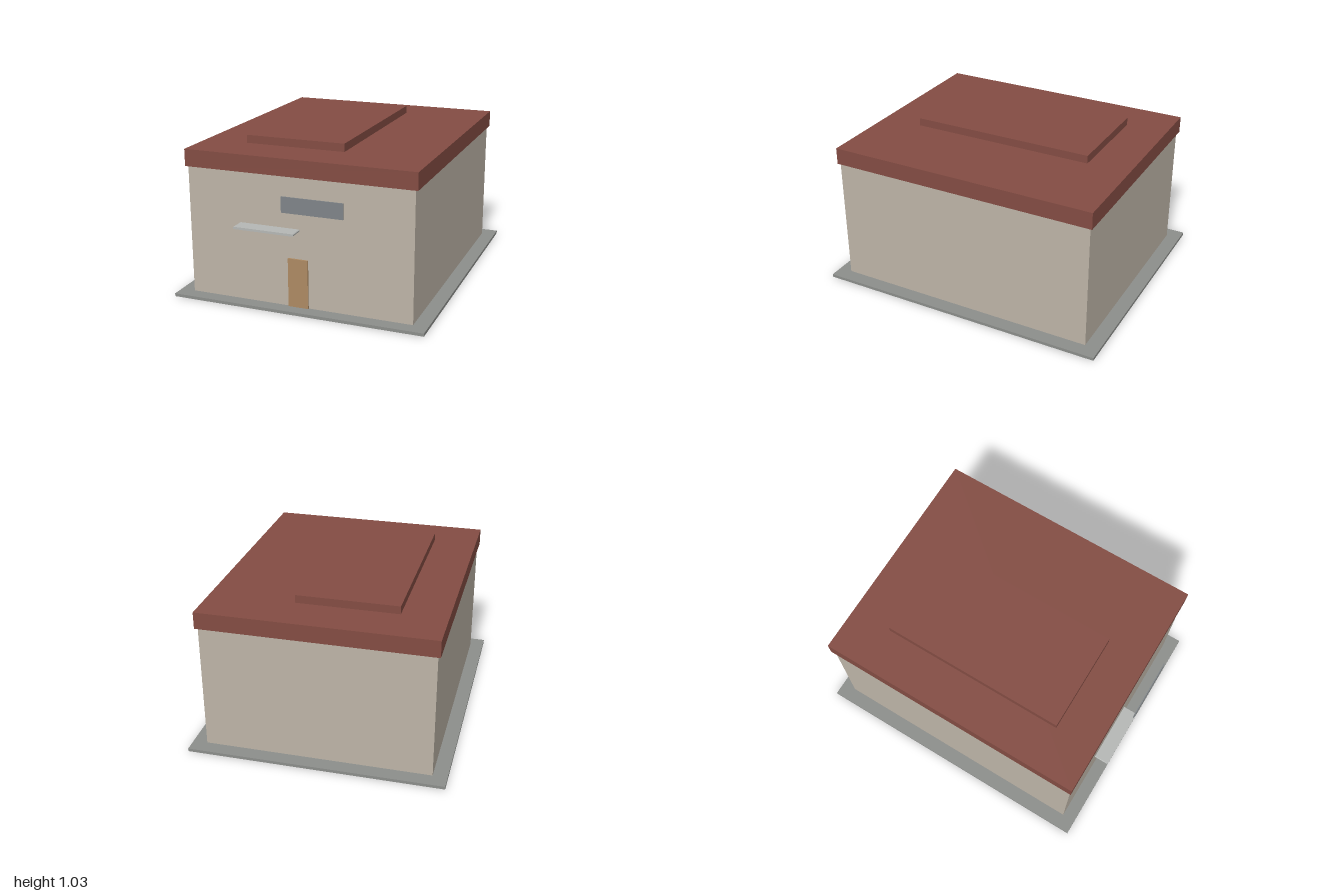
import * as THREE from 'three';

const material = (color) => new THREE.MeshStandardMaterial({ color });

// Box given by its extents on each axis
function block(name, mat, [x0, x1], [y0, y1], [z0, z1]) {
  const mesh = new THREE.Mesh(new THREE.BoxGeometry(x1 - x0, y1 - y0, z1 - z0), mat);
  mesh.position.set((x0 + x1) / 2, (y0 + y1) / 2, (z0 + z1) / 2);
  mesh.name = name;
  return mesh;
}

// Slab with small clipped corners, extruded along z
function clippedSlab(name, mat, [x0, x1], [y0, y1], [z0, z1], c) {
  const shape = new THREE.Shape([
    [x0 + c, y0], [x1 - c, y0], [x1, y0 + c], [x1, y1 - c],
    [x1 - c, y1], [x0 + c, y1], [x0, y1 - c], [x0, y0 + c],
  ].map(([x, y]) => new THREE.Vector2(x, y)));
  const geometry = new THREE.ExtrudeGeometry(shape, { depth: z1 - z0, bevelEnabled: false });
  const mesh = new THREE.Mesh(geometry, mat);
  mesh.position.z = z0;
  mesh.name = name;
  return mesh;
}

export function createModel() {
  const model = new THREE.Group();
  model.name = 'building';
  const roofMat = material(0x834c43);

  model.add(
    // Ground slab and main volume
    block('groundSlab', material(0x8c8e8b), [-0.847, 0.847], [0, 0.02], [-1, 0.987]),
    block('walls', material(0xbdb4a7), [-0.752, 0.752], [0.02, 0.87], [-0.903, 0.897]),
    // Flat roof with an offset raised section
    block('roof', roofMat, [-0.769, 0.769], [0.87, 0.982], [-0.92, 0.908]),
    block('raisedRoof', roofMat, [-0.472, 0.202], [0.982, 1.035], [-0.635, 0.623]),
    // Front details
    block('door', material(0xad8a63), [-0.068, 0.066], [0.02, 0.342], [0.894, 0.908]),
    clippedSlab('awning', material(0xb5b7b5), [-0.395, 0.014], [0.525, 0.54], [0.903, 1], 0.004),
    block('signPanel', material(0x7f8488), [-0.064, 0.34], [0.67, 0.772], [0.993, 1]),
  );
  return model;
}
